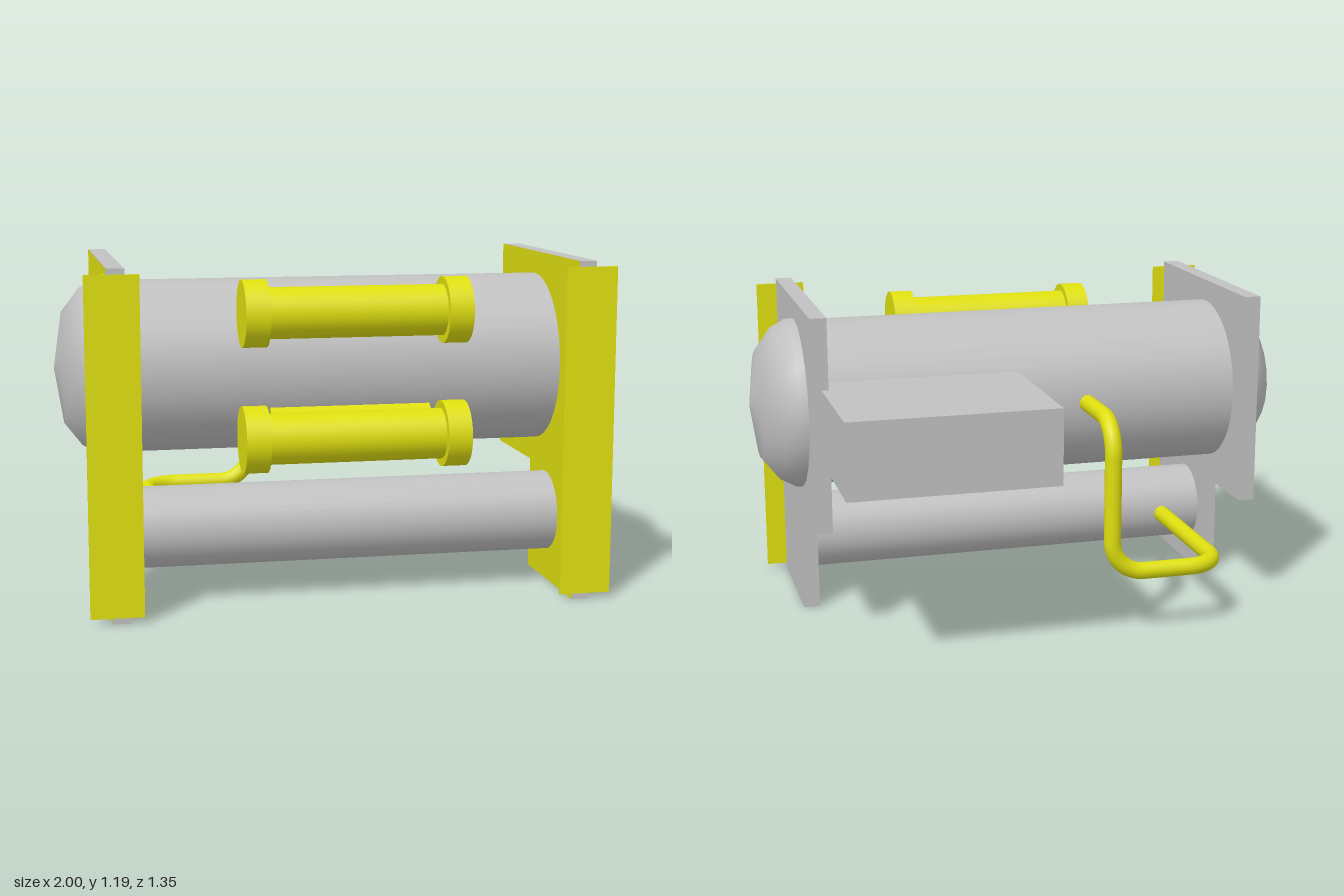
import * as THREE from 'three';

const grey = new THREE.MeshStandardMaterial({ color: 0xc0c0c0 });
grey.name = 'grey';
const yellow = new THREE.MeshStandardMaterial({ color: 0xdede10 });
yellow.name = 'yellow';

const TANK_Y = 0.805, TANK_Z = 0.19;

export function createModel() {
  const model = new THREE.Group();
  const add = (name, geo, mat, x = 0, y = 0, z = 0, parent = model) => {
    const mesh = new THREE.Mesh(geo, mat);
    mesh.name = name;
    mesh.position.set(x, y, z);
    parent.add(mesh);
    return mesh;
  };
  const bar = (r, len, seg = 40) => new THREE.CylinderGeometry(r, r, len, seg).rotateZ(Math.PI / 2);

  // Horizontal vessels
  add('mainTank', bar(0.305, 1.6), grey, -0.01, TANK_Y, TANK_Z);
  add('lowerTank', bar(0.143, 1.6), grey, -0.01, 0.255, 0.36);

  // Domed tank ends
  const domeProfile = [[0.315, 0.8], [0.312, 0.85], [0.282, 0.905], [0.2, 0.968], [0, 1]]
    .map(([r, h]) => new THREE.Vector2(r, h));
  for (const side of [-1, 1]) {
    const dome = new THREE.LatheGeometry(domeProfile, 20).rotateZ(-side * Math.PI / 2);
    add(side > 0 ? 'leftDome' : 'rightDome', dome, grey, 0, TANK_Y, TANK_Z);
  }

  // Stepped end plates, each with one painted face and a front strip
  const outline = new THREE.Shape([
    [0.675, 0], [0.675, 1.19], [-0.205, 1.19], [-0.205, 0.41], [0.18, 0.41], [0.18, 0],
  ].map(([z, y]) => new THREE.Vector2(z, y)));
  for (const [side, x, stripX] of [['right', -0.785, -0.828], ['left', 0.825, 0.81]]) {
    const plate = new THREE.ExtrudeGeometry(outline, { depth: 0.06, bevelEnabled: false });
    add(side + 'EndPlate', plate.rotateY(-Math.PI / 2), grey, x);
    add(side + 'PlatePaint', new THREE.ShapeGeometry(outline).rotateY(-Math.PI / 2), yellow, x - 0.062);
    add(side + 'FrontStrip', new THREE.BoxGeometry(0.182, 1.15, 0.008), yellow, stripX, 0.595, 0.672);
  }

  // Rear control box
  add('rearBox', new THREE.BoxGeometry(0.74, 0.27, 0.675), grey, 0.42, 0.8, -0.3375);

  // Capped canisters on brackets, set radially around the tank front
  for (const [name, s] of [['upper', 1], ['lower', -1]]) {
    const canister = new THREE.Group();
    canister.name = name + 'Canister';
    canister.position.set(0.005, TANK_Y + s * 0.216, 0.555);
    model.add(canister);
    add('canisterBody', bar(0.088, 0.64), yellow, 0, 0, 0, canister);
    for (const x of [-0.349, 0.349]) add('canisterCap', bar(0.115, 0.084), yellow, x, 0, 0, canister);
    const bracket = new THREE.BoxGeometry(0.565, 0.1, 0.105).translate(0, 0, -0.055);
    add('canisterBracket', bracket, yellow, 0, 0, 0, canister).rotation.x = -s * Math.PI / 6;
  }

  // Bent pipe from the main tank down to the lower tank
  const corners = [
    [-0.21, 0.805, -0.08], [-0.21, 0.805, -0.425], [-0.21, 0.245, -0.425],
    [-0.63, 0.245, -0.425], [-0.63, 0.245, 0.26],
  ].map(p => new THREE.Vector3(...p));
  const path = new THREE.CurvePath();
  let start = corners[0];
  for (let i = 1; i < corners.length - 1; i++) {
    const c = corners[i];
    const toward = q => q.clone().sub(c).setLength(0.12).add(c);
    const a = toward(corners[i - 1]), b = toward(corners[i + 1]);
    path.add(new THREE.LineCurve3(start, a));
    path.add(new THREE.CubicBezierCurve3(a, a.clone().lerp(c, 0.55), b.clone().lerp(c, 0.55), b));
    start = b;
  }
  path.add(new THREE.LineCurve3(start, corners[corners.length - 1]));
  add('connectingPipe', new THREE.TubeGeometry(path, 120, 0.031, 16), yellow);

  return model;
}
